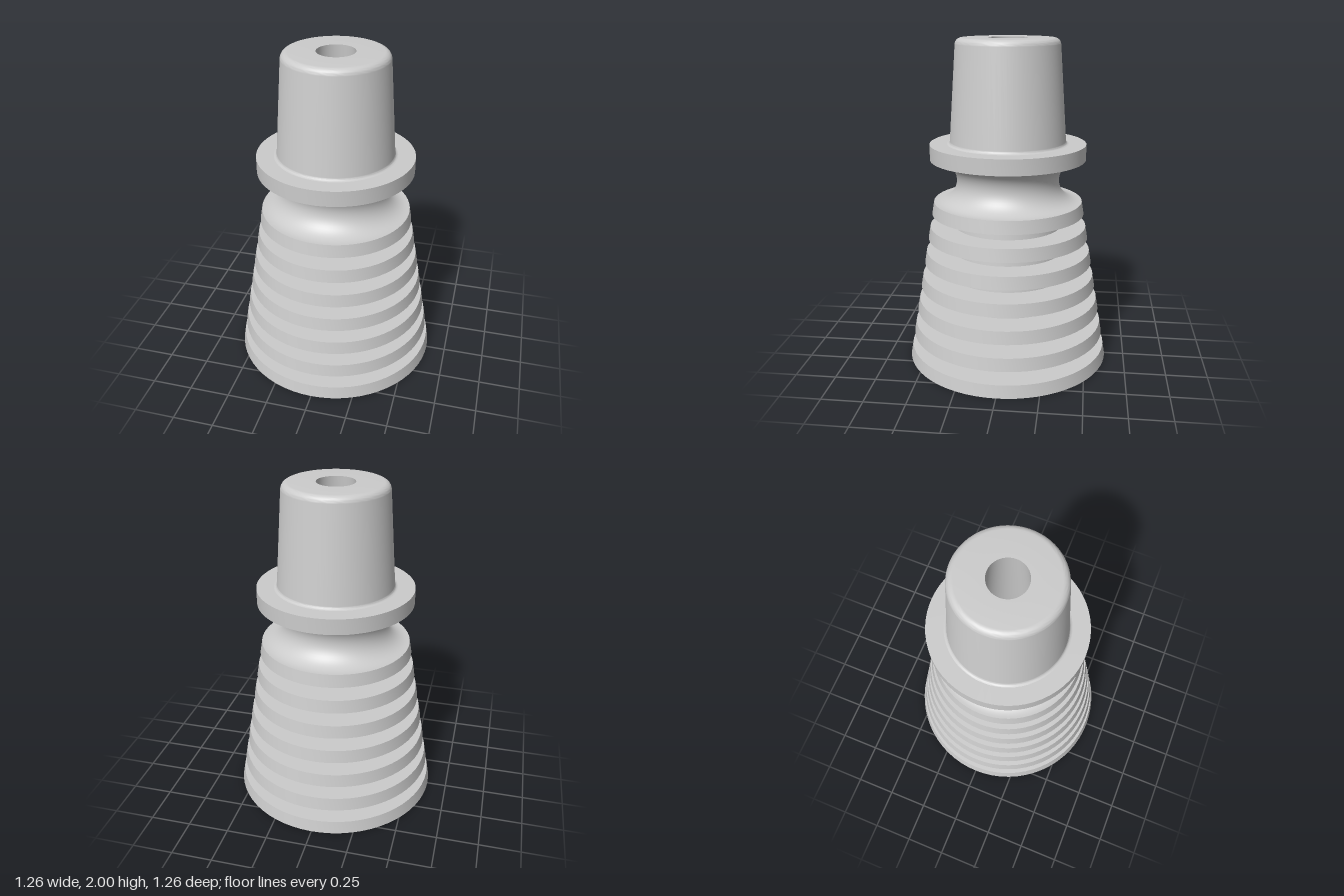
import * as THREE from 'three';
import { toCreasedNormals } from 'three/addons/utils/BufferGeometryUtils.js';

const SEGMENTS = 64;
const BORE_BOTTOM = 0.287, BORE_TOP = 0.113;

// points on an arc, as [radius, height]
function arc(r, y, size, from, to, steps) {
  return Array.from({ length: steps + 1 }, (_, i) => {
    const a = THREE.MathUtils.degToRad(from + (to - from) * i / steps);
    return [r + size * Math.cos(a), y + size * Math.sin(a)];
  });
}

export function createModel() {
  const group = new THREE.Group();
  const material = new THREE.MeshStandardMaterial({ color: 0xcccccc });

  // turn a profile around the y axis, keeping its corners sharp
  function turned(name, profile) {
    const points = profile.map(([r, y]) => new THREE.Vector2(r, y));
    const geometry = toCreasedNormals(new THREE.LatheGeometry(points, SEGMENTS), Math.PI / 6);
    const mesh = new THREE.Mesh(geometry, material);
    mesh.name = name;
    group.add(mesh);
  }

  // tapered sleeve with seven fins around a tapered core
  const fins = 7, pitch = 0.1567, thickness = 0.078;
  const finRadius = (y) => 0.63 - 0.17 * y;
  const coreRadius = (y) => 0.44 - 0.125 * y;
  const sleeve = [[BORE_BOTTOM, 0]];
  for (let i = 0; i < fins; i++) {
    const low = i * pitch, high = low + thickness;
    if (i > 0) sleeve.push([coreRadius(low), low]);
    sleeve.push([finRadius(low), low], [finRadius(high), high]);
    if (i < fins - 1) sleeve.push([coreRadius(high), high]);
  }
  turned('finnedSleeve', sleeve);

  // rounded groove between the sleeve and the flange
  const sleeveTop = (fins - 1) * pitch + thickness;
  turned('grooveNeck', [[finRadius(sleeveTop), sleeveTop], ...arc(0.445, 1.149, 0.131, 270, 90, 24)]);

  // flange
  turned('flange', [[0.445, 1.28], [0.475, 1.28], [0.475, 1.375], [0.365, 1.375]]);

  // tapered nose with a small fillet below and a rounded rim above
  turned('nose', [
    ...arc(0.37, 1.393, 0.018, 270, 180, 5),
    ...arc(0.272, 1.96, 0.04, 4, 90, 8),
    [BORE_TOP, 2],
  ]);

  // bore right through the middle
  turned('bore', [[BORE_TOP, 2], [BORE_BOTTOM, 0]]);

  return group;
}
